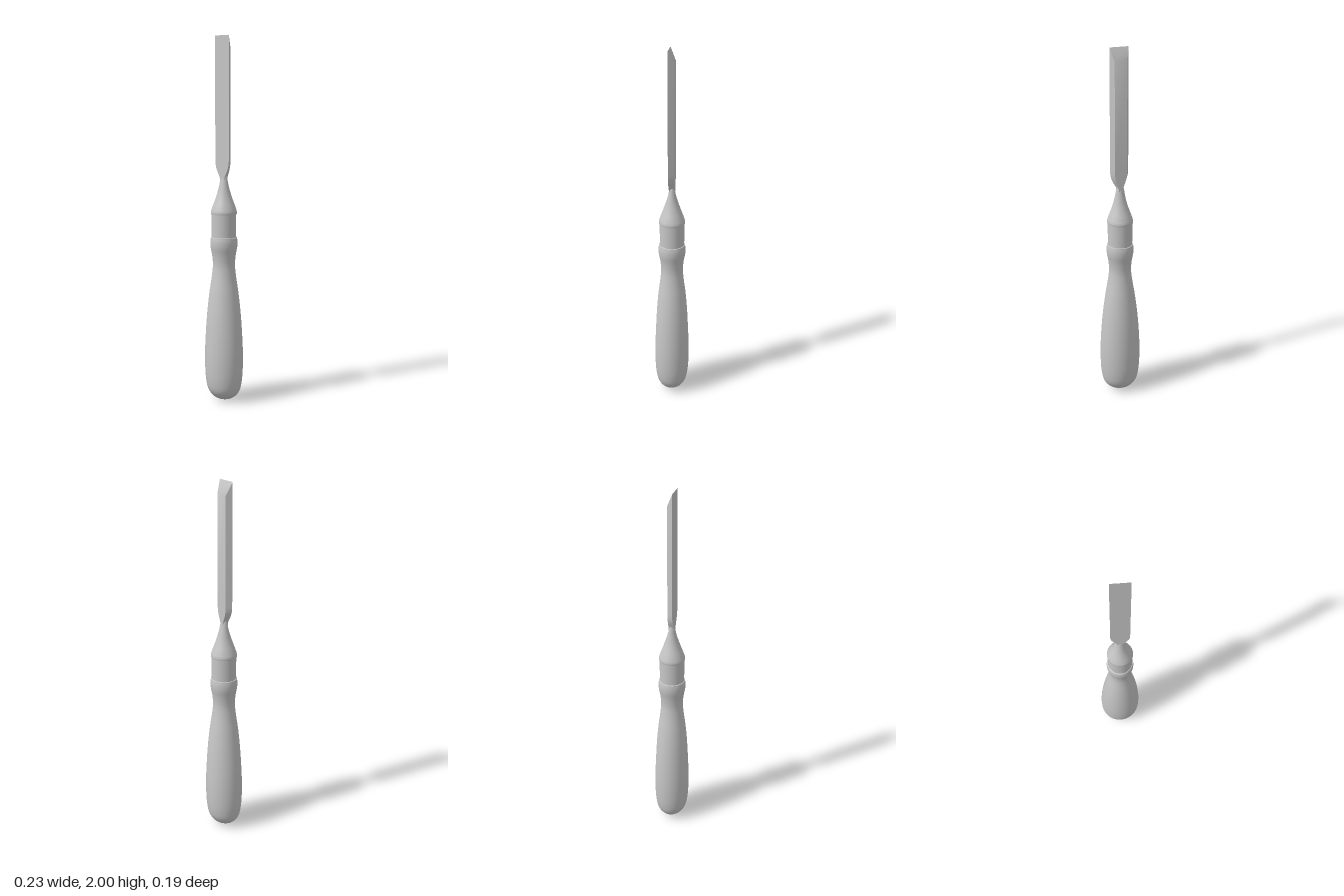
import * as THREE from 'three';
import { toCreasedNormals } from 'three/addons/utils/BufferGeometryUtils.js';

const smooth = THREE.MathUtils.smoothstep;

// Turned part from [radius, y] points, with depth scaled by a rule of height
function turned(points, depth = () => 1) {
  const g = new THREE.LatheGeometry(points.map(([r, y]) => new THREE.Vector2(r, y)), 64);
  const p = g.attributes.position;
  for (let i = 0; i < p.count; i++) p.setZ(i, p.getZ(i) * depth(p.getY(i)));
  return g;
}

// Smooth curve through profile points
function curve(points, n) {
  const c = new THREE.CatmullRomCurve3(points.map(([r, y]) => new THREE.Vector3(r, y, 0)), false, 'centripetal');
  return c.getPoints(n).map((v) => [Math.max(0, v.x), v.y]);
}

// Bevel-edged blade lofted from trapezoid sections: flat front, narrower back
function bladeGeometry() {
  const rows = [[0.014, 1.225], [0.018, 1.245], [0.023, 1.255], [0.035, 1.275], [0.044, 1.295], [0.049, 1.315], [0.051, 1.335], [0.051, 2]];
  const pos = [], index = [];
  rows.forEach(([w, y]) => {
    const back = w * 0.66, yBack = y === 2 ? 1.93 : y; // ground cutting bevel
    pos.push(-w, y, 0.015, w, y, 0.015, back, yBack, -0.016, -back, yBack, -0.016);
  });
  for (let r = 0; r < rows.length - 1; r++) {
    for (let k = 0; k < 4; k++) {
      const a = r * 4 + k, b = r * 4 + (k + 1) % 4;
      index.push(a, b, b + 4, a, b + 4, a + 4);
    }
  }
  const t = (rows.length - 1) * 4;
  index.push(t, t + 1, t + 2, t, t + 2, t + 3, 0, 2, 1, 0, 3, 2);
  const g = new THREE.BufferGeometry();
  g.setAttribute('position', new THREE.Float32BufferAttribute(pos, 3));
  g.setIndex(index);
  return toCreasedNormals(g, 0.45);
}

export function createModel() {
  const group = new THREE.Group();
  const gray = new THREE.MeshStandardMaterial({ color: 0xc6c6c6 });
  gray.name = 'plain gray';
  const add = (name, geometry) => {
    const m = new THREE.Mesh(geometry, gray);
    m.name = name;
    group.add(m);
  };

  // Handle: oval at the butt, round at the ferrule
  const profile = curve([[0, 0.005], [0.035, 0.009], [0.07, 0.027], [0.095, 0.06], [0.108, 0.115], [0.114, 0.22],
    [0.111, 0.34], [0.1, 0.48], [0.083, 0.61], [0.068, 0.7], [0.061, 0.765], [0.065, 0.82], [0.073, 0.865],
    [0.074, 0.895], [0.071, 0.918]], 72);
  profile[0] = [0, 0];
  add('handle', turned(profile, (y) => 0.84 + 0.16 * smooth(y, 0.35, 0.85)));
  add('handleShoulder', turned([[0.071, 0.918], [0.066, 0.92]]));

  // Ferrule and the collar above it
  add('ferrule', turned([[0.067, 0.918], [0.067, 1.045]]));
  add('collarUnderside', turned([[0.066, 1.045], [0.07, 1.045]]));
  add('collar', turned(curve([[0.07, 1.045], [0.071, 1.055], [0.069, 1.066]], 8)));

  // Bolster flaring down from the blade, slimmer in depth at its top
  const neck = curve([[0.069, 1.066], [0.061, 1.09], [0.048, 1.125], [0.037, 1.16], [0.028, 1.2], [0.022, 1.235], [0.018, 1.255]], 32);
  add('bolster', turned([...neck, [0, 1.258]], (y) => 1 - 0.3 * smooth(y, 1.14, 1.255)));

  add('blade', bladeGeometry());
  return group;
}
